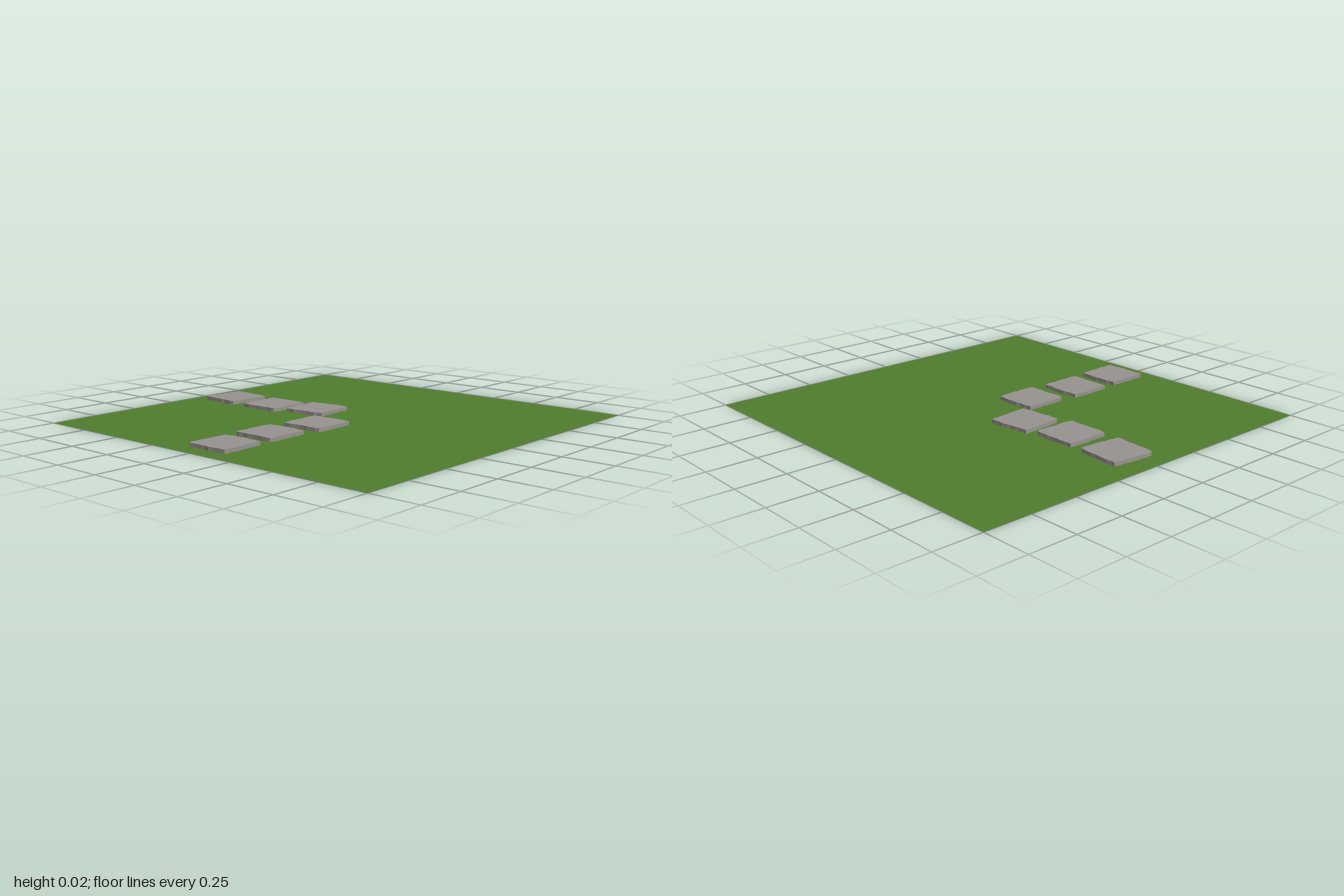
import * as THREE from 'three';

// Small seeded generator for the chipped stone edges, returns -1..1
function seeded(seed) {
  let s = seed * 7919 + 17;
  return () => {
    s = (s * 16807) % 2147483647;
    return (s / 2147483647) * 2 - 1;
  };
}

// Square slab with a slightly ragged outline, lying flat with its base at y = 0
function slabGeometry(size, thickness, seed) {
  const rand = seeded(seed);
  const steps = 9, half = size / 2;
  const points = [];
  for (let side = 0; side < 4; side++) {
    const angle = side * Math.PI / 2;
    for (let i = 0; i < steps; i++) {
      const along = -half + (size * i) / steps + (i ? rand() * 0.004 : 0.003);
      const out = half + (i ? rand() * 0.004 : -0.003);
      points.push(new THREE.Vector2(along, -out).rotateAround(new THREE.Vector2(), angle));
    }
  }
  const geometry = new THREE.ExtrudeGeometry(new THREE.Shape(points), { depth: thickness, bevelEnabled: false });
  return geometry.rotateX(-Math.PI / 2);
}

export function createModel() {
  const model = new THREE.Group();
  model.name = 'steppingStonePath';

  const grass = new THREE.MeshStandardMaterial({ color: 0x4f7d2d, side: THREE.DoubleSide });
  grass.name = 'grass green';
  const stone = new THREE.MeshStandardMaterial({ color: 0x97928f });
  stone.name = 'stone grey';

  // Lawn: a flat square sheet
  const lawn = new THREE.Mesh(new THREE.PlaneGeometry(2, 2).rotateX(-Math.PI / 2), grass);
  lawn.name = 'lawn';
  model.add(lawn);

  // Path stones: x, base y, z, turn
  const stones = [
    [-0.785, 0.003, -0.028, -0.09],
    [-0.485, 0.003, -0.015, -0.01],
    [-0.215, 0.006, -0.06, 0.085],
    [0.021, 0.002, 0.204, 0.02],
    [0.006, 0.003, 0.509, -0.01],
    [0.019, 0.003, 0.808, 0.015],
  ];
  stones.forEach(([x, y, z, turn], i) => {
    const slab = new THREE.Mesh(slabGeometry(0.228, 0.019, i + 1), stone);
    slab.name = `pathStone${i + 1}`;
    slab.position.set(x, y, z);
    slab.rotation.y = turn;
    model.add(slab);
  });

  return model;
}
